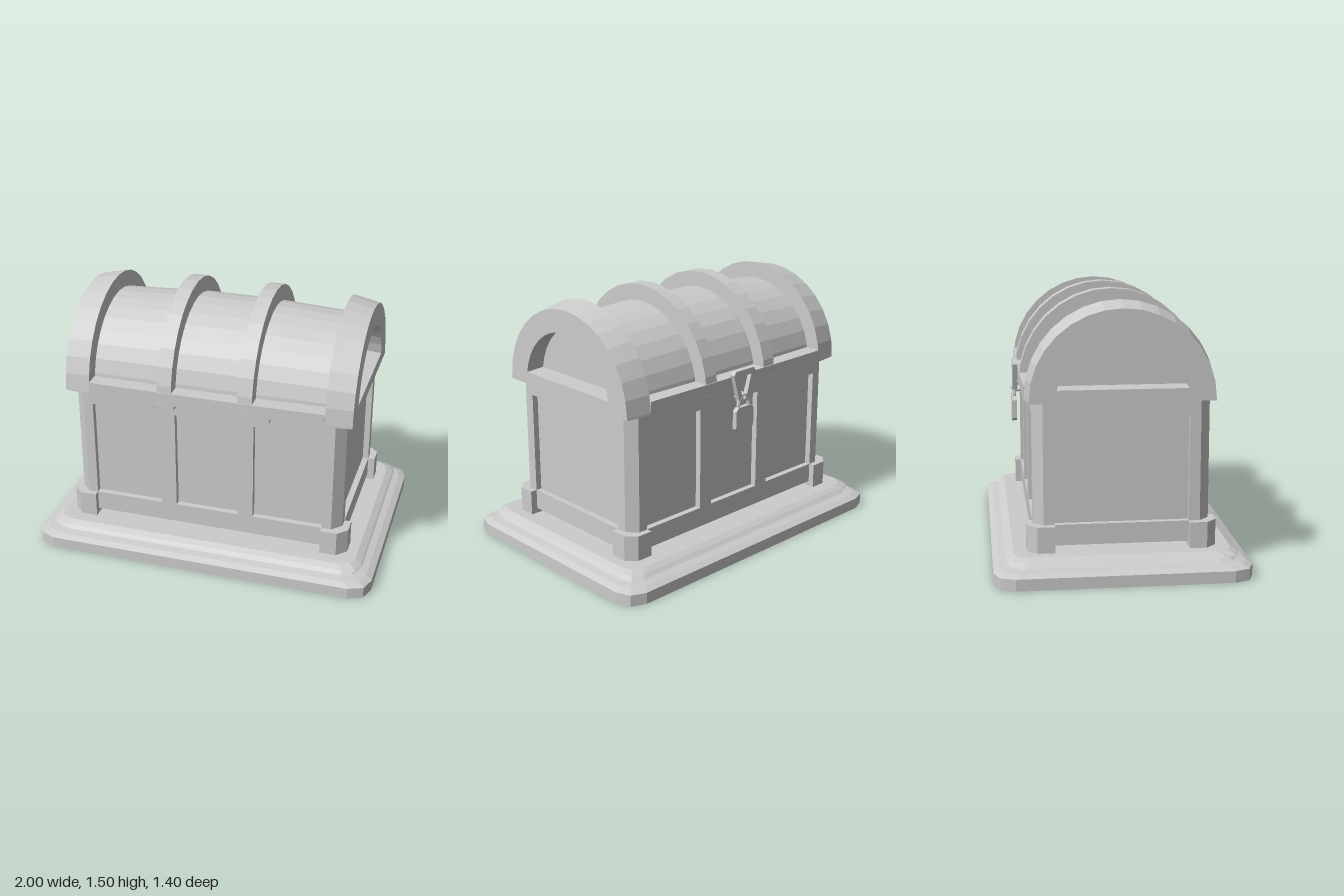
import * as THREE from 'three';

const material = new THREE.MeshStandardMaterial({ color: 0xcccccc, flatShading: true });
const V = (x, y) => new THREE.Vector2(x, y);
const ARCH_Y = 0.97; // centre height of the lid's arch

export function createModel() {
  const root = new THREE.Group();

  const add = (name, geometry, parent = root) => {
    const mesh = new THREE.Mesh(geometry, material);
    mesh.name = name;
    parent.add(mesh);
    return mesh;
  };
  const group = (name) => {
    const g = new THREE.Group();
    g.name = name;
    root.add(g);
    return g;
  };
  // Box given by its limits
  const box = (name, x0, x1, y0, y1, z0, z1, parent) =>
    add(name, new THREE.BoxGeometry(x1 - x0, y1 - y0, z1 - z0)
      .translate((x0 + x1) / 2, (y0 + y1) / 2, (z0 + z1) / 2), parent);

  // Moulded plinth: rings of a rectangle with cut corners, [inset, height]
  const ring = (inset) => {
    const a = 1 - inset, b = 0.7 - inset, c = 0.115 - inset * 0.3;
    const corner = [[a, b - c], [a - c * 0.27, b - c * 0.3], [a - c, b]];
    const flip = (sx, sz) => corner.map(([x, z]) => [x * sx, z * sz]);
    return [...flip(1, 1), ...flip(-1, 1).reverse(), ...flip(-1, -1), ...flip(1, -1).reverse()];
  };
  const profile = [[0, 0], [0, 0.065], [0.035, 0.082], [0.08, 0.09], [0.105, 0.108],
    [0.065, 0.12], [0.075, 0.128], [0.11, 0.145]];
  const positions = [], index = [], n = 12;
  for (const [inset, y] of profile) for (const [x, z] of ring(inset)) positions.push(x, y, z);
  const last = (profile.length - 1) * n;
  for (let l = 0; l < last; l += n) {
    for (let i = 0; i < n; i++) {
      const j = (i + 1) % n;
      index.push(l + i, l + n + i, l + j, l + j, l + n + i, l + n + j);
    }
  }
  for (let i = 1; i < n - 1; i++) {
    index.push(0, i, i + 1, last, last + i + 1, last + i);
  }
  const plinth = new THREE.BufferGeometry();
  plinth.setAttribute('position', new THREE.Float32BufferAttribute(positions, 3));
  plinth.setIndex(index);
  const flatPlinth = plinth.toNonIndexed();
  flatPlinth.computeVertexNormals();
  add('plinth', flatPlinth);

  // Body: core with rails and stiles that leave sunken panels
  const body = group('body');
  box('panels', -0.755, 0.755, 0.175, 0.96, -0.445, 0.445, body);
  for (const s of [1, -1]) {
    const span = (a, b) => (s > 0 ? [a, b] : [-b, -a]);
    for (const [name, y0, y1] of [['bottomRail', 0.175, 0.29], ['topRail', 0.88, 0.96]]) {
      box(name, -0.68, 0.68, y0, y1, ...span(0.44, 0.48), body);
      box(name, ...span(0.75, 0.79), y0, y1, -0.365, 0.365, body);
    }
    for (const x of [-0.23, 0.23]) {
      box('stile', x - 0.045, x + 0.045, 0.29, 0.88, ...span(0.44, 0.48), body);
    }
  }

  // Corner posts and their feet, both with a cut outer corner
  const cornerPrism = (name, X, Z, cx, cz, y0, y1, sx, sz) => {
    const pts = [[0.68, 0.365], [X, 0.365], [X, Z - cz], [X - cx, Z], [0.68, Z]];
    const shape = new THREE.Shape(pts.map(([x, z]) => V(x * sx, -z * sz)));
    const g = new THREE.ExtrudeGeometry(shape, { depth: y1 - y0, bevelEnabled: false });
    add(name, g.rotateX(-Math.PI / 2).translate(0, y0, 0), body);
  };
  for (const sx of [1, -1]) for (const sz of [1, -1]) {
    cornerPrism('cornerPost', 0.79, 0.48, 0.055, 0.055, 0.2, 0.96, sx, sz);
    cornerPrism('cornerFoot', 0.83, 0.515, 0.055, 0.055, 0.143, 0.29, sx, sz);
  }

  // Lid parts: a cross-section run along x, narrowed by taper(|x|)
  const lid = group('lid');
  const arc = (rz, ry, start = 0, segs = 16) => Array.from({ length: segs + 1 }, (_, i) => {
    const a = start + (Math.PI - 2 * start) * i / segs;
    return V(rz * Math.cos(a), ARCH_Y + ry * Math.sin(a));
  });
  const arch = (rz, ry) => new THREE.Shape([V(rz, 0.96), ...arc(rz, ry), V(-rz, 0.96)]);
  const lidPart = (name, shape, x0, x1, taper = () => 0, steps = 1) => {
    const g = new THREE.ExtrudeGeometry(shape, { depth: x1 - x0, bevelEnabled: false, steps });
    g.rotateY(Math.PI / 2).translate(x0, 0, 0);
    const p = g.attributes.position;
    for (let i = 0; i < p.count; i++) {
      const t = taper(Math.abs(p.getX(i))), y = p.getY(i);
      p.setZ(i, p.getZ(i) * (1 - t * 0.6));
      if (y > ARCH_Y) p.setY(i, ARCH_Y + (y - ARCH_Y) * (1 - t));
    }
    g.computeVertexNormals();
    return add(name, g, lid);
  };
  const ramp = (x, a, b) => THREE.MathUtils.clamp((x - a) / (b - a), 0, 1);

  lidPart('barrel', arch(0.445, 0.445), -0.71, 0.71, (x) => 0.056 * ramp(x, 0.19, 0.68), 8);
  const rim = new THREE.Shape([V(0.525, 0.96), V(0.525, 1.035), V(-0.525, 1.035), V(-0.525, 0.96)]);
  lidPart('rim', rim, -0.68, 0.68, (x) => 0.024 * ramp(x, 0.275, 0.68), 8);
  const endTaper = (x) => 0.024 + 0.061 * ramp(x, 0.68, 0.83);
  for (const s of [1, -1]) {
    lidPart('middleBand', arch(0.525, 0.535), s * 0.2325 - 0.0425, s * 0.2325 + 0.0425);
    // End band with an arched recess
    const end = arch(0.525, 0.53);
    end.holes.push(new THREE.Path(arc(0.375, 0.39, 0.167)));
    lidPart('endBand', end, s * 0.755 - 0.075, s * 0.755 + 0.075, endTaper);
  }

  // Hinges under the front edge of the lid
  const hinges = group('hinges');
  for (const x of [-0.275, 0.275]) {
    box('hingeLeaf', x - 0.097, x + 0.097, 0.932, 0.962, 0.475, 0.512, hinges);
    add('hingeKnuckle', new THREE.CylinderGeometry(0.02, 0.02, 0.1, 8)
      .rotateZ(Math.PI / 2).translate(x, 0.942, 0.492), hinges);
  }

  // Hasp, staple and padlock on the back
  const lock = group('lock');
  const plate = (name, pts, hole, z0, z1) => {
    const shape = new THREE.Shape(pts.map(([x, y]) => V(x, y)));
    if (hole) shape.holes.push(new THREE.Path(hole.map(([x, y]) => V(x, y))));
    const g = new THREE.ExtrudeGeometry(shape, { depth: z1 - z0, bevelEnabled: false });
    add(name, g.translate(0, 0, z0), lock);
  };
  plate('hasp',
    [[-0.04, 0.885], [0.04, 0.885], [0.087, 1.05], [0.07, 1.07], [-0.07, 1.07], [-0.087, 1.05]],
    [[-0.022, 0.925], [-0.052, 1.035], [0.052, 1.035], [0.022, 0.925]], -0.552, -0.523);
  const staple = new THREE.CatmullRomCurve3([[-0.47, 0.93], [-0.53, 0.925], [-0.555, 0.905],
    [-0.53, 0.885], [-0.47, 0.9]].map(([z, y]) => new THREE.Vector3(0, y, z)));
  add('staple', new THREE.TubeGeometry(staple, 10, 0.011, 6), lock);
  const shackle = new THREE.CatmullRomCurve3([[-0.038, 0.84], [-0.038, 0.885], [0, 0.918],
    [0.038, 0.885], [0.038, 0.84]].map(([x, y]) => new THREE.Vector3(x, y, -0.543)));
  add('shackle', new THREE.TubeGeometry(shackle, 12, 0.011, 6), lock);
  plate('padlockBody',
    [[-0.045, 0.71], [0.045, 0.71], [0.07, 0.73], [0.07, 0.835], [0.05, 0.855],
      [-0.05, 0.855], [-0.07, 0.835], [-0.07, 0.73]], null, -0.558, -0.53);

  return root;
}
